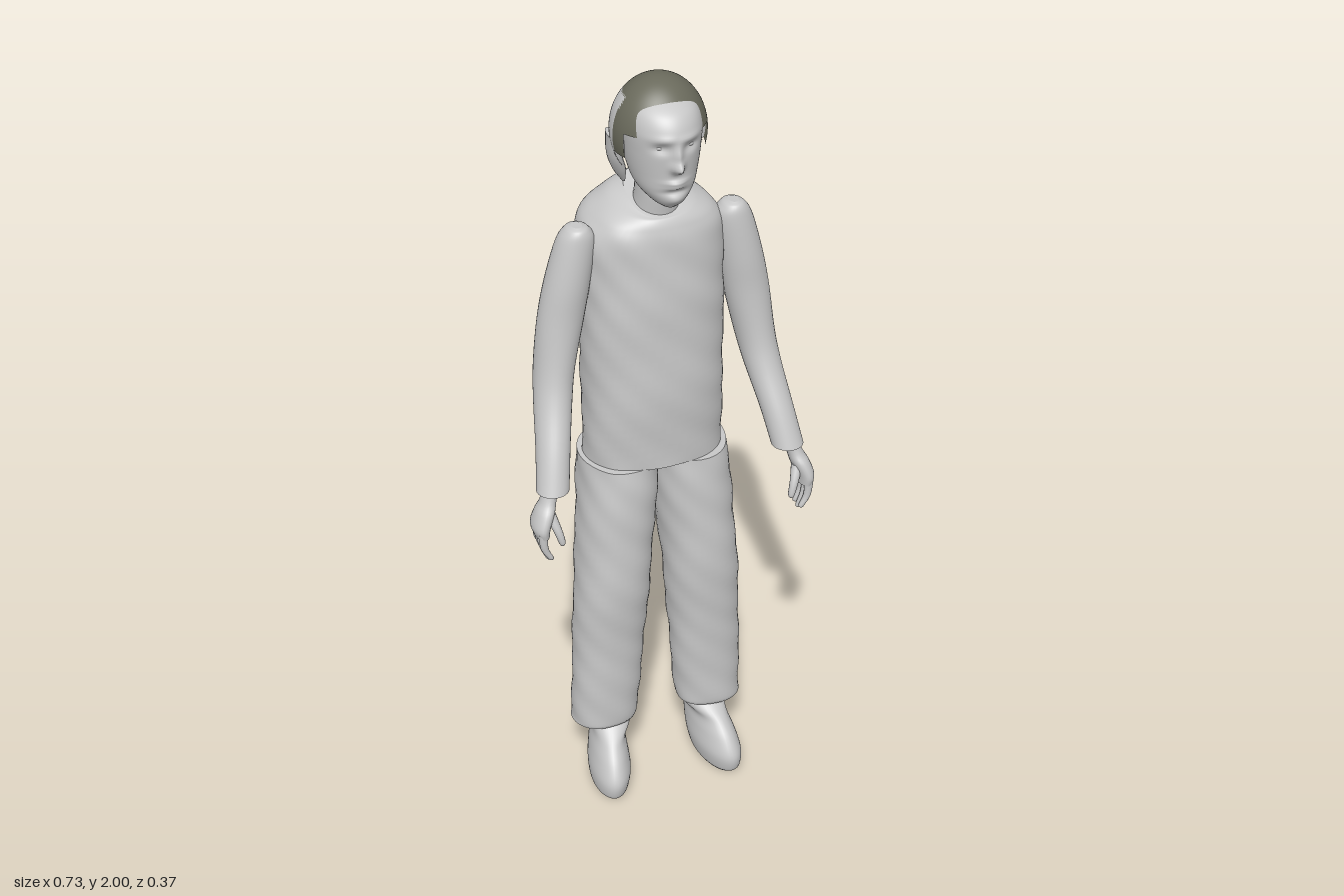
import * as THREE from 'three';

const skinAndCloth = new THREE.MeshStandardMaterial({ color: 0xc8c8c8, side: THREE.DoubleSide });
skinAndCloth.name = 'plainGrey';
const hairDark = new THREE.MeshStandardMaterial({ color: 0x6a6a5c, side: THREE.DoubleSide });
hairDark.name = 'darkOlive';

// Smooth loft through horizontal rings [y, x0, x1, z0, z1, tilt], listed from bottom to top.
// side = -1 mirrors in x; power < 1 makes rings boxier; warp(v) moves each vertex.
function loft(name, rings, { side = 1, seg = 32, steps = 6, power = 1, warp } = {}) {
  const flat = rings.flatMap((r) => [r[0], r[1], r[2], r[3], r[4], r[5] || 0]);
  const curve = new THREE.CubicInterpolant(rings.map((_, i) => i), flat, 6, new Float32Array(6));
  const rows = (rings.length - 1) * steps;
  const pos = [], index = [], v = new THREE.Vector3();
  const shape = (n) => Math.sign(n) * Math.abs(n) ** power;
  for (let i = 0; i <= rows; i++) {
    const [y, x0, x1, z0, z1, tilt] = curve.evaluate(i / steps);
    for (let j = 0; j < seg; j++) {
      const a = (j / seg) * Math.PI * 2, c = shape(Math.cos(a)), s = shape(Math.sin(a));
      v.set(side * (x0 + x1) / 2 + c * (x1 - x0) / 2, y + tilt * s, (z0 + z1) / 2 + s * (z1 - z0) / 2);
      if (warp) warp(v, c, s);
      pos.push(v.x, v.y, v.z);
    }
  }
  for (let i = 0; i < rows; i++) {
    for (let j = 0; j < seg; j++) {
      const a = i * seg + j, b = i * seg + (j + 1) % seg;
      index.push(a, a + seg, b, b, a + seg, b + seg);
    }
  }
  // end caps with their own vertices, so the rims stay sharp
  for (const [row, top] of [[0, false], [rows, true]]) {
    const start = pos.length / 3, ring = pos.slice(row * seg * 3, (row + 1) * seg * 3);
    const mid = [0, 0, 0];
    ring.forEach((n, k) => { mid[k % 3] += n / seg; });
    pos.push(...ring, ...mid);
    for (let j = 0; j < seg; j++) {
      const a = start + j, b = start + (j + 1) % seg;
      index.push(start + seg, top ? b : a, top ? a : b);
    }
  }
  const geo = new THREE.BufferGeometry();
  geo.setAttribute('position', new THREE.Float32BufferAttribute(pos, 3));
  geo.setIndex(index);
  geo.computeVertexNormals();
  const mesh = new THREE.Mesh(geo, skinAndCloth);
  mesh.name = name;
  return mesh;
}

// Soft folds in cloth
function folds(v, c, s) {
  const d = 0.0025 * Math.sin(v.y * 41 + v.x * 23) * Math.sin(v.y * 17 + v.z * 31 + v.x * 27);
  v.x += c * d;
  v.z += s * d;
}

// Face relief: [x, y, height, width, tallness], each mirrored in x
const FACE = [
  [0, 1.83, 0.03, 0.013, 0.013], [0, 1.857, 0.014, 0.011, 0.022],
  [0.034, 1.874, -0.011, 0.02, 0.012], [0.03, 1.897, 0.004, 0.03, 0.008],
  [0, 1.788, 0.01, 0.024, 0.006], [0, 1.777, 0.008, 0.02, 0.005],
  [0, 1.762, -0.006, 0.03, 0.007], [0, 1.742, 0.006, 0.022, 0.012],
];
function faceRelief(v, c, s) {
  if (s <= 0) return;
  let d = 0;
  for (const [x, y, h, w, t] of FACE) {
    d += h * Math.exp(-(((Math.abs(v.x) - x) / w) ** 2) - ((v.y - y) / t) ** 2);
  }
  v.z += d * Math.min(1, s * 1.5);
}

function ball(name, x, y, z, sx, sy, sz) {
  const mesh = new THREE.Mesh(new THREE.SphereGeometry(1, 20, 14), skinAndCloth);
  mesh.scale.set(sx, sy, sz);
  mesh.position.set(x, y, z);
  mesh.name = name;
  return mesh;
}

function buildHead() {
  const head = new THREE.Group();
  head.name = 'head';
  head.add(loft('face', [
    [1.713, -0.02, 0.02, 0.06, 0.12], [1.73, -0.042, 0.042, 0.025, 0.138],
    [1.76, -0.067, 0.067, -0.025, 0.147], [1.80, -0.08, 0.08, -0.055, 0.15],
    [1.85, -0.087, 0.087, -0.065, 0.155], [1.90, -0.089, 0.089, -0.068, 0.158],
    [1.94, -0.08, 0.08, -0.058, 0.138], [1.965, -0.058, 0.058, -0.035, 0.098],
    [1.98, -0.028, 0.028, 0, 0.06],
  ], { seg: 96, steps: 9, warp: faceRelief }));
  head.add(loft('neck', [
    [1.60, -0.065, 0.065, -0.08, 0.06], [1.66, -0.056, 0.056, -0.06, 0.066],
    [1.72, -0.05, 0.05, -0.046, 0.075], [1.80, -0.05, 0.05, -0.05, 0.08],
  ]));
  for (const s of [1, -1]) {
    head.add(ball('eye', s * 0.033, 1.874, 0.128, 0.014, 0.009, 0.012));
    head.add(ball('ear', s * 0.088, 1.845, 0.025, 0.009, 0.03, 0.018));
    // thin lock hanging beside the neck
    head.add(loft('sideLock', [
      [1.725, 0.064, 0.072, -0.03, -0.015], [1.76, 0.064, 0.095, -0.045, 0.005],
      [1.80, 0.076, 0.108, -0.05, 0.02], [1.85, 0.085, 0.109, -0.05, 0.03],
    ], { side: s, seg: 16, steps: 4 }));
  }
  head.add(buildHair());
  return head;
}

// Open shell over the skull: dark top, sides and nape, plain back
function buildHair() {
  const geo = new THREE.SphereGeometry(1, 80, 60);
  geo.scale(0.112, 0.13, 0.11);
  geo.translate(0, 1.87, 0.025);
  geo.computeVertexNormals();
  const p = geo.attributes.position, old = geo.index.array, dark = [], plain = [];
  for (let i = 0; i < old.length; i += 3) {
    const tri = [old[i], old[i + 1], old[i + 2]];
    const y = tri.reduce((n, k) => n + p.getY(k) / 3, 0);
    const z = tri.reduce((n, k) => n + p.getZ(k) / 3, 0);
    const front = y > 1.95 ? 0.13 : y > 1.89 ? 0.11 : 0.075;
    if (z > front || y < 1.785 || (z > 0.03 && y < 1.83)) continue;
    const isDark = y > 1.96 || z > 0.035 || (y < 1.805 && z < 0);
    (isDark ? dark : plain).push(...tri);
  }
  geo.setIndex([...dark, ...plain]);
  geo.clearGroups();
  geo.addGroup(0, dark.length, 0);
  geo.addGroup(dark.length, plain.length, 1);
  const hair = new THREE.Mesh(geo, [hairDark, skinAndCloth]);
  hair.name = 'hair';
  return hair;
}

function buildArm(side) {
  const arm = new THREE.Group();
  arm.name = side > 0 ? 'leftArm' : 'rightArm';
  arm.add(loft('sleeve', [
    [1.01, 0.262, 0.342, 0.085, 0.165], [1.10, 0.245, 0.328, 0.038, 0.13],
    [1.20, 0.222, 0.314, -0.022, 0.085], [1.28, 0.205, 0.304, -0.052, 0.063],
    [1.40, 0.178, 0.29, -0.055, 0.052], [1.50, 0.16, 0.27, -0.055, 0.052],
    [1.60, 0.148, 0.242, -0.044, 0.047], [1.635, 0.162, 0.222, -0.028, 0.04],
    [1.645, 0.18, 0.205, -0.01, 0.025],
  ], { side, steps: 5 }));
  arm.add(loft('palm', [
    [0.905, 0.322, 0.358, 0.105, 0.183], [0.93, 0.318, 0.364, 0.1, 0.186],
    [0.965, 0.305, 0.352, 0.104, 0.176], [0.99, 0.298, 0.338, 0.11, 0.16],
    [1.03, 0.285, 0.325, 0.105, 0.15],
  ], { side, seg: 24, steps: 4 }));
  // four fingers and the thumb
  for (let i = 0; i < 4; i++) {
    const z = 0.117 + i * 0.0185, tip = [0.848, 0.834, 0.83, 0.84][i];
    arm.add(loft('finger', [
      [tip, 0.323, 0.329, z - 0.003, z + 0.003], [tip + 0.006, 0.319, 0.334, z - 0.007, z + 0.007],
      [0.875, 0.331, 0.35, z - 0.009, z + 0.009], [0.92, 0.332, 0.356, z - 0.01, z + 0.01],
    ], { side, seg: 12, steps: 4 }));
  }
  arm.add(loft('thumb', [
    [0.878, 0.293, 0.301, 0.172, 0.18], [0.888, 0.289, 0.306, 0.166, 0.184],
    [0.92, 0.295, 0.317, 0.158, 0.18], [0.96, 0.305, 0.335, 0.135, 0.165],
  ], { side, seg: 12, steps: 4 }));
  return arm;
}

function buildLeg(side) {
  const leg = new THREE.Group();
  leg.name = side > 0 ? 'leftLeg' : 'rightLeg';
  leg.add(loft('trouserLeg', [
    [0.178, 0.06, 0.232, -0.06, 0.078], [0.21, 0.056, 0.23, -0.066, 0.084],
    [0.40, 0.04, 0.225, -0.07, 0.09], [0.60, 0.025, 0.216, -0.086, 0.108],
    [0.80, 0.008, 0.202, -0.114, 0.11], [0.92, -0.004, 0.193, -0.134, 0.105],
    [0.99, -0.01, 0.186, -0.138, 0.1],
  ], { side, seg: 40, steps: 10, power: 0.92, warp: folds }));
  // shoe, toes turned outward by a shear
  leg.add(loft('shoe', [
    [0, 0.105, 0.192, -0.035, 0.155], [0.015, 0.098, 0.2, -0.048, 0.168],
    [0.055, 0.092, 0.202, -0.062, 0.172], [0.10, 0.096, 0.194, -0.076, 0.148],
    [0.135, 0.098, 0.186, -0.078, 0.115], [0.16, 0.08, 0.188, -0.07, 0.088],
    [0.185, 0.068, 0.19, -0.056, 0.06],
  ], { side, seg: 40, steps: 5, warp: (v) => { v.x += side * 0.12 * (v.z - 0.05); } }));
  return leg;
}

export function createModel() {
  const model = new THREE.Group();
  model.name = 'standingFigure';
  // shirt with a neckline that dips at the front
  model.add(loft('shirt', [
    [0.99, -0.174, 0.174, -0.14, 0.102], [1.20, -0.174, 0.174, -0.155, 0.113],
    [1.40, -0.175, 0.175, -0.166, 0.11], [1.52, -0.177, 0.177, -0.18, 0.105],
    [1.60, -0.174, 0.174, -0.186, 0.1], [1.645, -0.148, 0.148, -0.165, 0.09, -0.005],
    [1.675, -0.105, 0.105, -0.132, 0.08, -0.014], [1.693, -0.066, 0.066, -0.095, 0.072, -0.028],
  ], { seg: 56, steps: 10, power: 0.88, warp: folds }));
  model.add(buildHead());
  for (const side of [1, -1]) model.add(buildArm(side), buildLeg(side));
  return model;
}
